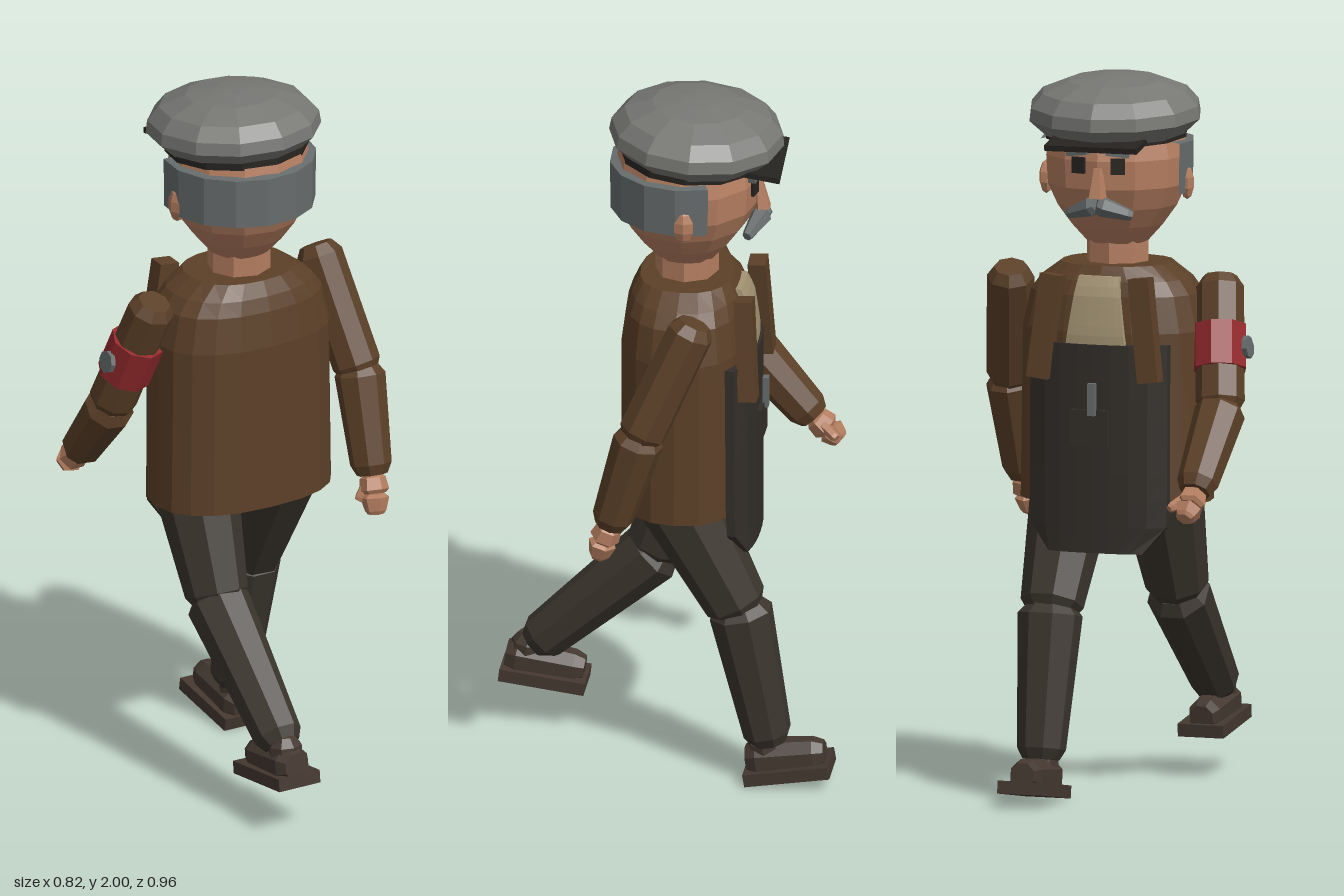
import * as THREE from 'three';

const mat = (name, color, side = THREE.FrontSide) =>
  Object.assign(new THREE.MeshStandardMaterial({ color, flatShading: true, side }), { name });

export function createModel() {
  const M = {
    jacket: mat('jacket brown', 0x5c4028), trousers: mat('trouser grey brown', 0x3b352d),
    apron: mat('apron charcoal', 0x332e29), shoe: mat('shoe brown', 0x443830),
    skin: mat('skin', 0xb57e60), cap: mat('cap grey', 0x777774), hair: mat('hair grey', 0x676c6d),
    shirt: mat('shirt beige', 0xa49474), red: mat('armband red', 0x952a2d), dark: mat('dark trim', 0x262320),
  };
  const model = new THREE.Group();
  const V = (p) => new THREE.Vector3(...p);
  const UP = new THREE.Vector3(0, 1, 0);

  const add = (name, geo, material, pos = [0, 0, 0], rot = [0, 0, 0], parent = model) => {
    const m = new THREE.Mesh(geo, material);
    m.name = name;
    m.position.set(...pos);
    m.rotation.set(...rot);
    parent.add(m);
    return m;
  };
  const box = (name, size, material, pos, rot, parent) =>
    add(name, new THREE.BoxGeometry(...size), material, pos, rot, parent);
  const lathe = (pts, n, ...phi) =>
    new THREE.LatheGeometry(pts.map((p) => new THREE.Vector2(...p)), n, ...phi);

  // Tapered eight-sided limb between two points, with chamfered ends
  const limb = (name, a, b, r0, r1, material, { parent = model, chamfer = 0.03, n = 8 } = {}) => {
    const dir = V(b).sub(V(a)), L = dir.length();
    const pts = [[0, 0], [r0 * 0.7, 0], [r0, chamfer], [r1, L - chamfer], [r1 * 0.75, L], [0, L]];
    const m = add(name, lathe(pts, n, Math.PI / n), material, a, undefined, parent);
    m.quaternion.setFromUnitVectors(UP, dir.normalize());
    return m;
  };

  // Torso: rounded-box cross-sections [y, half width, half depth]
  const CZ = -0.058, E = 2.4, N = 20;
  const sections = [[0.82, 0.27, 0.178], [1.3, 0.263, 0.178], [1.4, 0.24, 0.165],
    [1.44, 0.21, 0.152], [1.48, 0.155, 0.13]];
  const pos = [], idx = [];
  const sp = (v) => Math.sign(v) * Math.abs(v) ** (2 / E);
  for (const [y, rx, rz] of sections)
    for (let i = 0; i < N; i++) {
      const a = (i / N) * Math.PI * 2;
      pos.push(rx * sp(Math.sin(a)), y, CZ + rz * sp(Math.cos(a)));
    }
  for (let j = 0; j < sections.length - 1; j++)
    for (let i = 0; i < N; i++) {
      const a = j * N + i, b = j * N + (i + 1) % N;
      idx.push(a, b, a + N, b, b + N, a + N);
    }
  const top = (sections.length - 1) * N;
  for (let i = 1; i < N - 1; i++) idx.push(0, i + 1, i, top, top + i, top + i + 1);
  const torso = new THREE.BufferGeometry();
  torso.setAttribute('position', new THREE.Float32BufferAttribute(pos, 3));
  torso.setIndex(idx);
  torso.computeVertexNormals();
  add('jacket', torso, M.jacket);

  // Panel wrapped on the chest; width(t) scales it from bottom (0) to top (1)
  const chestZ = (x, y) => {
    const i = Math.max(1, sections.findIndex((s) => s[0] >= y));
    const [s, t] = [sections[i - 1], sections[i]];
    const k = Math.max(0, (y - s[0]) / (t[0] - s[0]));
    const rx = s[1] + (t[1] - s[1]) * k, rz = s[2] + (t[2] - s[2]) * k;
    return CZ - rz * Math.max(0, 1 - Math.abs(x / rx) ** E) ** (1 / E);
  };
  const panel = (name, w, y0, y1, thick, width, material) => {
    const g = new THREE.BoxGeometry(w, y1 - y0, thick, 8, 8, 1), p = g.attributes.position;
    for (let i = 0; i < p.count; i++) {
      const y = p.getY(i) + (y0 + y1) / 2;
      const x = p.getX(i) * width((y - y0) / (y1 - y0));
      p.setXYZ(i, x, y, chestZ(x, y) + p.getZ(i) - thick / 2);
    }
    g.computeVertexNormals();
    add(name, g, material);
  };
  panel('apron', 0.4, 0.69, 1.27, 0.024, (t) => Math.min(1, 0.68 + t * 2.4), M.apron);
  panel('shirtFront', 0.18, 1.24, 1.455, 0.016, (t) => 1 - 0.35 * t, M.shirt);
  box('apronPocket', [0.11, 0.1, 0.012], M.apron, [0.01, 1.04, -0.266]);
  box('pocketPen', [0.022, 0.09, 0.016], M.hair, [0.0, 1.12, -0.275]);

  // Jacket lapels
  for (const s of [1, -1])
    box('lapel', [0.06, 0.29, 0.05], M.jacket, [s * 0.145, 1.315, -0.242], [0.06, 0, s * 0.12]);

  // Arms: left swings back, right swings forward
  const arm = (side, shoulder, elbow, wrist, knuckle, tips, thumb) => {
    limb(side + 'UpperArm', shoulder, elbow, 0.066, 0.068, M.jacket);
    limb(side + 'Forearm', elbow.map((v, i) => v - (wrist[i] - v) * 0.1), wrist, 0.071, 0.058, M.jacket);
    limb(side + 'Palm', wrist, knuckle, 0.036, 0.042, M.skin, { chamfer: 0.01, n: 6 });
    limb(side + 'Fingers', knuckle, tips, 0.04, 0.03, M.skin, { chamfer: 0.01, n: 6 });
    limb(side + 'Thumb', wrist, thumb, 0.018, 0.015, M.skin, { chamfer: 0.01, n: 6 });
  };
  arm('left', [0.29, 1.455, -0.12], [0.34, 1.11, 0.03], [0.33, 0.84, 0.11],
    [0.325, 0.79, 0.13], [0.32, 0.735, 0.145], [0.285, 0.77, 0.11]);
  const rs = [-0.29, 1.445, -0.03], re = [-0.342, 1.09, -0.18];
  arm('right', rs, re, [-0.33, 0.89, -0.36],
    [-0.33, 0.855, -0.4], [-0.325, 0.825, -0.435], [-0.28, 0.85, -0.43]);

  // Armband with a small round badge
  const axis = V(re).sub(V(rs));
  const band = add('armband', new THREE.CylinderGeometry(0.076, 0.076, 0.125, 8), M.red,
    V(rs).addScaledVector(axis, 0.53).toArray());
  band.quaternion.setFromUnitVectors(UP, axis.clone().negate().normalize());
  add('armbandBadge', new THREE.CylinderGeometry(0.032, 0.032, 0.014, 8), M.hair,
    [-0.396, 1.262, -0.105], [0, 0, Math.PI / 2 - 0.15]);

  // Legs and shoes in mid stride
  const leg = (side, hip, knee, ankle, foot, tilt) => {
    limb(side + 'Thigh', hip, knee, 0.122, 0.088, M.trousers);
    limb(side + 'Shin', knee.map((v, i) => v - (ankle[i] - v) * 0.07), ankle, 0.09, 0.068, M.trousers);
    const g = new THREE.Group();
    g.name = side + 'Shoe';
    g.position.set(...foot);
    g.rotation.x = tilt;
    model.add(g);
    box('sole', [0.133, 0.036, 0.24], M.shoe, undefined, undefined, g);
    limb('shoeUpper', [0, 0.04, 0.112], [0, 0.035, -0.108], 0.056, 0.048, M.shoe, { parent: g });
    add('shoeAnkle', new THREE.SphereGeometry(0.05, 8, 5), M.shoe, [0, 0.075, 0.055], undefined, g);
  };
  leg('left', [0.13, 0.92, -0.01], [0.138, 0.51, -0.225], [0.138, 0.115, -0.305], [0.138, 0.039, -0.36], 0.17);
  leg('right', [-0.13, 0.92, -0.1], [-0.138, 0.54, 0.06], [-0.138, 0.235, 0.39], [-0.138, 0.145, 0.362], -0.12);

  // Head and neck, turned very slightly
  const head = new THREE.Group();
  head.name = 'head';
  head.position.set(0, 0, -0.055);
  head.rotation.y = 0.05;
  model.add(head);
  const put = (name, g, m, p, r) => add(name, g, m, p, r, head);
  put('neck', new THREE.CylinderGeometry(0.088, 0.088, 0.14, 8), M.skin, [0, 1.51, 0]);
  put('face', lathe([[0, 1.53], [0.085, 1.535], [0.13, 1.585], [0.17, 1.64], [0.198, 1.7],
    [0.203, 1.78], [0.185, 1.86], [0, 1.88]], 12), M.skin);
  const arc = 1.94;
  put('hair', lathe([[0.18, 1.68], [0.212, 1.68], [0.214, 1.82], [0.18, 1.825]], 9, -arc, arc * 2), M.hair);
  for (const s of [1, -1]) {
    put('ear', new THREE.SphereGeometry(0.045, 6, 5), M.skin, [s * 0.202, 1.705, -0.01])
      .scale.set(0.45, 1.05, 0.7);
    const at = (r, y) => [s * r * 0.28, y, -r * 0.96];
    put('eye', new THREE.BoxGeometry(0.04, 0.045, 0.009), M.dark, at(0.202, 1.768), [0, -s * 0.27, 0]);
    put('eyebrow', new THREE.BoxGeometry(0.065, 0.018, 0.022), M.hair, at(0.204, 1.805), [0, -s * 0.27, -s * 0.12]);
    // Drooping moustache half
    limb('moustache', [0, 1.662, -0.212], [s * 0.092, 1.63, -0.175], 0.03, 0.018, M.hair,
      { parent: head, chamfer: 0.015, n: 6 });
  }
  put('nose', new THREE.CylinderGeometry(0.014, 0.028, 0.085, 5), M.skin, [0, 1.72, -0.203], [0.12, 0, 0]);

  // Flat cap, tipped forward
  const cap = new THREE.Group();
  cap.name = 'flatCap';
  cap.position.set(0, 1.84, -0.024);
  cap.rotation.x = -0.06;
  head.add(cap);
  add('capCrown', lathe([[0, 0], [0.195, 0], [0.243, 0.045], [0.238, 0.08], [0.205, 0.118],
    [0.13, 0.148], [0.05, 0.158], [0, 0.16]], 12), M.cap, undefined, undefined, cap);
  add('capBand', new THREE.CylinderGeometry(0.2, 0.2, 0.02, 12), M.dark, [0, 0.001, 0.012], undefined, cap);
  add('visor', new THREE.BoxGeometry(0.265, 0.016, 0.13), M.dark, [0, 0.004, -0.182], [-0.1, 0, 0], cap);

  return model;
}
